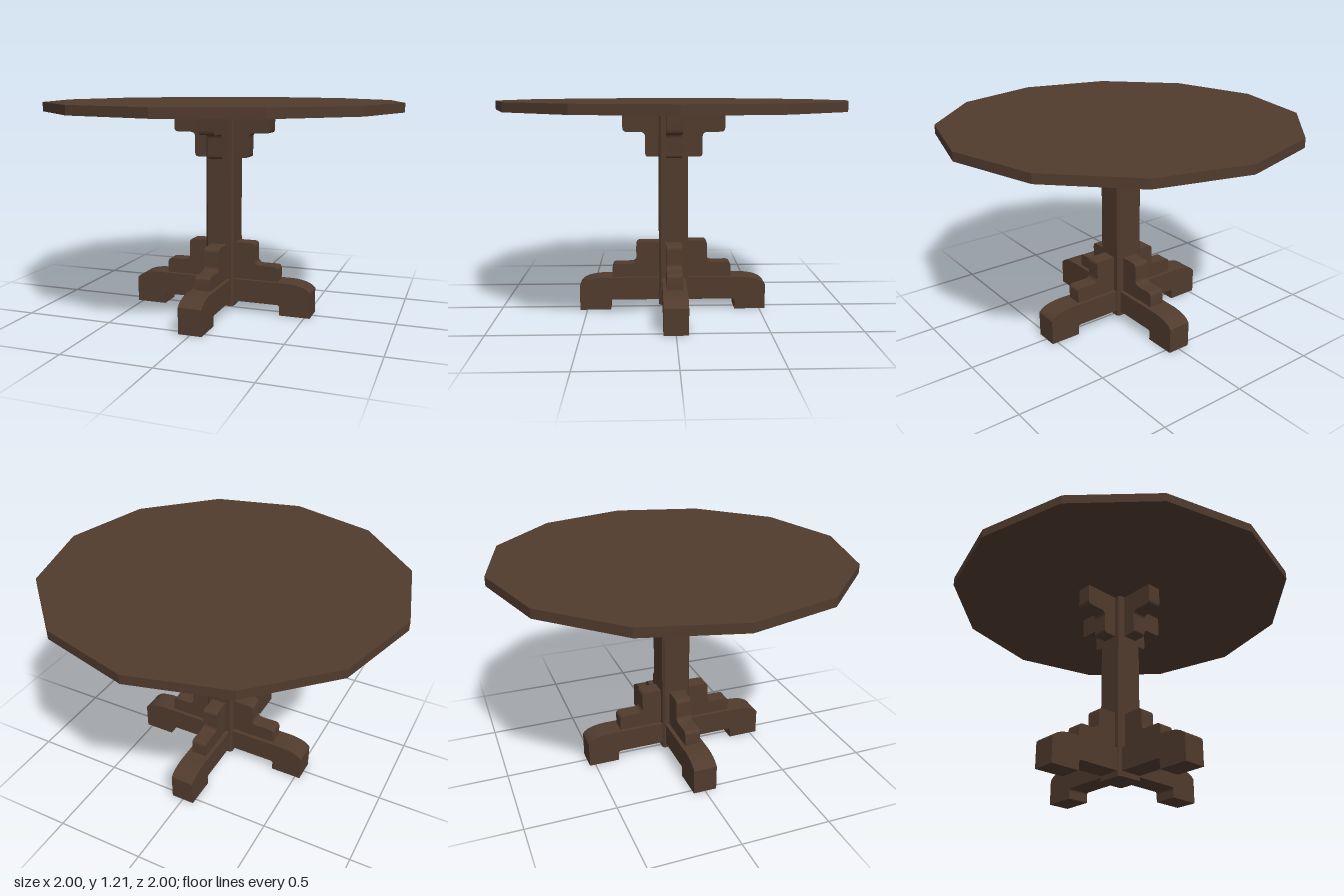
import * as THREE from 'three';
import { toCreasedNormals } from 'three/addons/utils/BufferGeometryUtils.js';

// Closed outline from [x, y, cornerRadius] points; corners with a radius are rounded.
function roundedOutline(points) {
  const shape = new THREE.Shape();
  const n = points.length;
  points.forEach(([x, y, r = 0], i) => {
    const corner = new THREE.Vector2(x, y);
    const toward = ([px, py]) =>
      new THREE.Vector2(px, py).sub(corner).setLength(r).add(corner);
    const a = r ? toward(points[(i + n - 1) % n]) : corner;
    const b = r ? toward(points[(i + 1) % n]) : corner;
    if (i === 0) shape.moveTo(a.x, a.y);
    else shape.lineTo(a.x, a.y);
    if (r) shape.quadraticCurveTo(x, y, b.x, b.y);
  });
  shape.closePath();
  return shape;
}

// Board of the given thickness, centred on z = 0
function board(shape, thickness) {
  const geo = new THREE.ExtrudeGeometry(shape, {
    depth: thickness, bevelEnabled: false, curveSegments: 6,
  });
  geo.translate(0, 0, -thickness / 2);
  return toCreasedNormals(geo, Math.PI / 6);
}

export function createModel() {
  const group = new THREE.Group();
  const wood = new THREE.MeshStandardMaterial({ color: 0x513b2e });
  wood.name = 'darkWood';

  const add = (name, geo, parent = group) => {
    const mesh = new THREE.Mesh(geo, wood);
    mesh.name = name;
    parent.add(mesh);
    return mesh;
  };

  // Twelve-sided top
  const top = new THREE.CylinderGeometry(1, 1, 0.05, 12).toNonIndexed();
  top.computeVertexNormals();
  add('tableTop', top).position.y = 1.18;

  // Square post with slightly trimmed corners
  const h = 0.083, c = 0.071;
  const section = new THREE.Shape([
    [h, -c], [h, c], [c, h], [-c, h], [-h, c], [-h, -c], [-c, -h], [c, -h],
  ].map(([x, y]) => new THREE.Vector2(x, y)));
  const post = new THREE.ExtrudeGeometry(section, { depth: 1.125, bevelEnabled: false });
  post.rotateX(-Math.PI / 2);
  add('post', post).position.y = 0.03;

  // Foot: arched top end, raised underside
  const foot = new THREE.Shape();
  foot.moveTo(0, 0.06);
  foot.lineTo(0.34, 0.06);
  foot.quadraticCurveTo(0.354, 0.06, 0.354, 0.046);
  foot.lineTo(0.354, 0);
  foot.lineTo(0.532, 0);
  foot.lineTo(0.532, 0.145);
  foot.bezierCurveTo(0.51, 0.175, 0.46, 0.188, 0.4, 0.19);
  foot.lineTo(0, 0.19);
  foot.closePath();
  const footGeo = board(foot, 0.134);

  // Stepped brace standing on the foot
  const lowerGeo = board(roundedOutline([
    [0.04, 0.18], [0.338, 0.18], [0.338, 0.275, 0.025],
    [0.2, 0.275, 0.03], [0.2, 0.403, 0.025], [0.04, 0.403],
  ]), 0.088);

  // Stepped brace hanging under the top
  const upperGeo = board(roundedOutline([
    [0.04, 1.156], [0.288, 1.156], [0.288, 1.03, 0.025],
    [0.16, 1.03, 0.03], [0.16, 0.89, 0.02], [0.04, 0.89],
  ]), 0.086);

  // Four arms: left, back, right, front, with small hand-fitted offsets
  const arms = [
    { name: 'left', foot: 0, lower: [0, 0], upper: 0 },
    { name: 'back', foot: 0.002, lower: [-0.005, 0], upper: 0.006 },
    { name: 'right', foot: -0.003, lower: [0, 0], upper: 0.002 },
    { name: 'front', foot: 0.01, lower: [0.015, -0.008], upper: 0 },
  ];
  arms.forEach((arm, i) => {
    const side = new THREE.Group();
    side.name = `${arm.name}Arm`;
    side.rotation.y = i * Math.PI / 2;
    add('foot', footGeo, side).position.x = arm.foot;
    add('lowerBrace', lowerGeo, side).position.set(arm.lower[0], arm.lower[1], 0);
    add('upperBrace', upperGeo, side).position.x = arm.upper;
    group.add(side);
  });

  return group;
}
